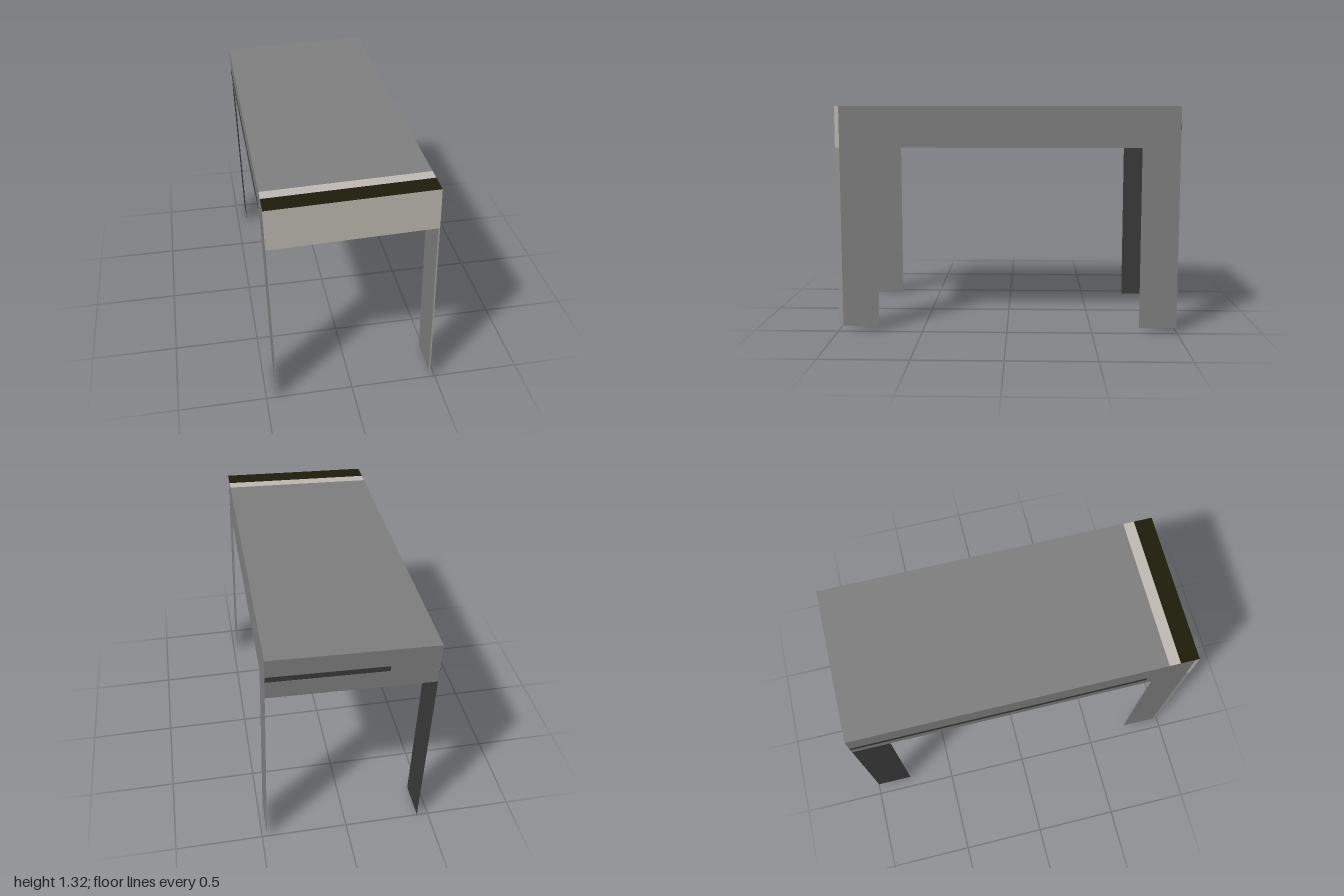
import * as THREE from 'three';

const paint = (name, color) => {
  const m = new THREE.MeshStandardMaterial({ color, side: THREE.DoubleSide });
  m.name = name;
  return m;
};

export function createModel() {
  const grey = paint('grey', 0x7f7f7f);
  const dark = paint('charcoal', 0x3a3a3a);
  const light = paint('warm light grey', 0xbfbab3);
  const black = paint('olive black', 0x1e1c0a);
  const mid = paint('worn grey', 0x9c9a97);

  const W = 0.453, LEG = 1.06, TOP = 1.3, T = 0.002;
  const FRONT_LEG = 0.76, BACK_LEG = -0.78, EDGE = 0.975;
  const table = new THREE.Group();
  table.name = 'table';

  const add = (name, material, geometry, x, y, z) => {
    const mesh = new THREE.Mesh(geometry, material);
    mesh.name = name;
    mesh.position.set(x, y, z);
    table.add(mesh);
  };
  // Thin sheets: upright along z, and level across the whole width
  const sideSheet = (name, material, x, [y0, y1], [z0, z1]) => {
    const g = new THREE.PlaneGeometry(z1 - z0, y1 - y0).rotateY(Math.sign(x) * Math.PI / 2);
    add(name, material, g, x, (y0 + y1) / 2, (z0 + z1) / 2);
  };
  const levelSheet = (name, material, y, [z0, z1], turn) => {
    const g = new THREE.PlaneGeometry(2 * W, z1 - z0).rotateX(turn);
    add(name, material, g, 0, y, (z0 + z1) / 2);
  };
  // Painted line as a thin plate given by its limits
  const line = (name, material, [x0, x1], [y0, y1], [z0, z1]) =>
    add(name, material, new THREE.BoxGeometry(x1 - x0, y1 - y0, z1 - z0),
      (x0 + x1) / 2, (y0 + y1) / 2, (z0 + z1) / 2);

  // Table top with two bands at the front
  levelSheet('top', grey, TOP, [-1, 0.825], -Math.PI / 2);
  levelSheet('topLightBand', light, TOP, [0.825, 0.89], -Math.PI / 2);
  levelSheet('topBlackBand', black, TOP, [0.89, 1], -Math.PI / 2);

  // Underside panel between the legs, open at both ends
  levelSheet('underside', grey, LEG, [BACK_LEG, FRONT_LEG], Math.PI / 2);

  // Front and back aprons
  const apron = new THREE.PlaneGeometry(2 * W, TOP - LEG);
  add('frontApron', light, apron, 0, (LEG + TOP) / 2, 1);
  add('backApron', grey, apron.clone().rotateY(Math.PI), 0, (LEG + TOP) / 2, -1);

  // Side aprons and sheet legs, with pale front edges
  for (const x of [-W, W]) {
    sideSheet('sideApron', grey, x, [LEG, TOP], [-1, EDGE]);
    sideSheet('sideApronEdge', light, x, [LEG, TOP], [EDGE, 1]);
    sideSheet('frontLeg', grey, x, [0, LEG], [FRONT_LEG, EDGE]);
    sideSheet('frontLegEdge', mid, x, [0, LEG], [EDGE, 1]);
    sideSheet('backLeg', x < 0 ? dark : grey, x, [0, LEG], [-1, BACK_LEG]);
  }

  // Dark lines on the side, back and underside
  line('sideLine', dark, [-W - T, -W + T], [LEG + 0.065, LEG + 0.095], [-1, 0.72]);
  line('backLine', dark, [-0.19, W], [LEG + 0.105, LEG + 0.135], [-1 - T, -1 + T]);
  line('undersideLine', dark, [-0.37, -0.33], [LEG - T, LEG], [BACK_LEG, FRONT_LEG]);

  // The whole table leans slightly
  table.rotation.z = 0.0276;
  table.position.set(0.018, 0.0125, 0);
  const model = new THREE.Group();
  model.name = 'leaningTable';
  model.add(table);
  return model;
}
